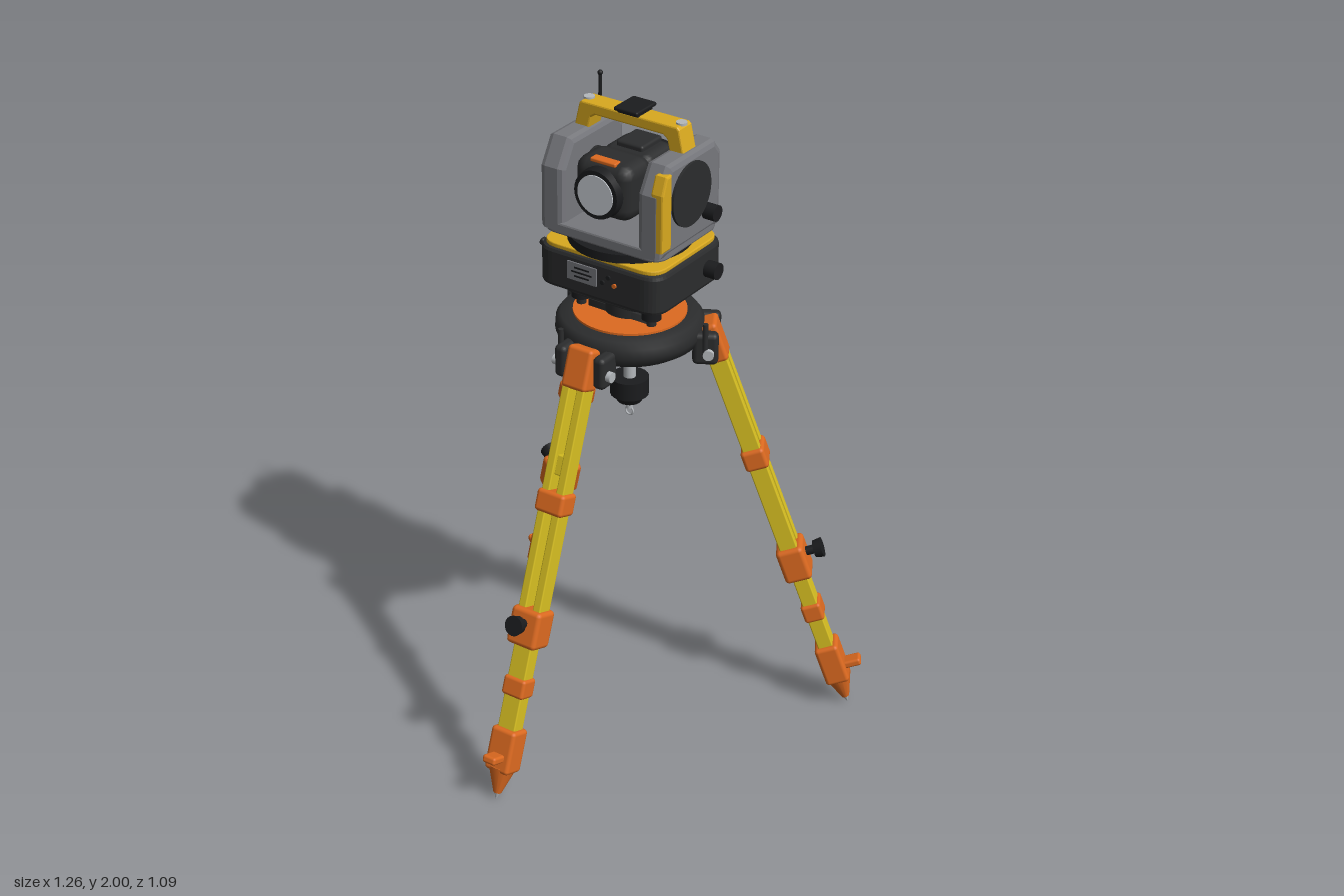
import * as THREE from 'three';
import { RoundedBoxGeometry } from 'three/addons/geometries/RoundedBoxGeometry.js';

function mat(name, color) {
  const m = new THREE.MeshStandardMaterial({ color });
  m.name = name;
  return m;
}

export function createModel() {
  const railYellow = mat('rail yellow', 0xd8c022);
  const trimYellow = mat('trim yellow', 0xd9a91f);
  const orange = mat('orange', 0xdd6a20);
  const black = mat('black', 0x2b2c2d);
  const rubber = mat('dark rubber', 0x1b1c1e);
  const grey = mat('housing grey', 0x77787d);
  const steel = mat('steel', 0xb4b8bc);
  const glass = mat('lens glass', 0xcdd2d8);

  function add(parent, name, geo, m, x = 0, y = 0, z = 0) {
    const mesh = new THREE.Mesh(geo, m);
    mesh.name = name;
    mesh.position.set(x, y, z);
    parent.add(mesh);
    return mesh;
  }
  const rbox = (w, h, d, r = 0.01) => new RoundedBoxGeometry(w, h, d, 2, r);
  const cyl = (rt, rb, h, n = 32) => new THREE.CylinderGeometry(rt, rb, h, n);
  const cylX = (r, h, n = 32) => cyl(r, r, h, n).rotateZ(Math.PI / 2);
  const cylZ = (rf, rb, h, n = 32) => cyl(rf, rb, h, n).rotateX(Math.PI / 2);
  const lathe = (pts) => new THREE.LatheGeometry(pts.map((p) => new THREE.Vector2(p[0], p[1])), 48);

  // extrusion with a bevel that stays inside the given outline
  function extrude(shape, depth, b) {
    return new THREE.ExtrudeGeometry(shape, {
      depth: depth - 2 * b, bevelEnabled: b > 0, bevelSize: b, bevelThickness: b,
      bevelOffset: -b, bevelSegments: 2, curveSegments: 8,
    }).translate(0, 0, b);
  }
  // rounded rectangle lying flat, standing on y = 0
  function slab(w, d, h, r, b) {
    const s = new THREE.Shape(), x = w / 2, z = d / 2;
    s.moveTo(-x + r, -z).lineTo(x - r, -z).quadraticCurveTo(x, -z, x, -z + r);
    s.lineTo(x, z - r).quadraticCurveTo(x, z, x - r, z).lineTo(-x + r, z);
    s.quadraticCurveTo(-x, z, -x, z - r).lineTo(-x, -z + r).quadraticCurveTo(-x, -z, -x + r, -z);
    return extrude(s, h, b).rotateX(-Math.PI / 2);
  }
  const outline = (pts) => new THREE.Shape(pts.map((p) => new THREE.Vector2(p[0], p[1])));
  // side outline given as (z, y), thickness running from x0 to x1
  const sidePlate = (pts, x0, x1, b) =>
    extrude(outline(pts), x1 - x0, b).rotateY(-Math.PI / 2).translate(x1, 0, 0);

  const root = new THREE.Group();
  root.name = 'surveyingInstrument';
  const model = new THREE.Group();
  model.name = 'instrumentOnTripod';
  model.position.z = -0.17;
  root.add(model);

  // ---- tripod legs ----
  function makeLeg() {
    const arm = new THREE.Group();
    arm.name = 'tripodLeg';
    // hinge lugs beside the leg top
    for (const s of [-1, 1]) {
      add(arm, 'hingeLug', rbox(0.04, 0.1, 0.075, 0.015), black, s * 0.066, 1.25, 0.222);
      add(arm, 'hingeBolt', cylX(0.016, 0.02, 16), steel, s * 0.09, 1.24, 0.232);
    }
    add(arm, 'hingePin', cyl(0.008, 0.008, 0.09, 12), black, -0.085, 1.29, 0.222);
    // leg built upward from the tip, then leaned inward
    const leg = new THREE.Group();
    leg.name = 'legShaft';
    leg.position.z = 0.68;
    leg.rotation.x = -0.341;
    arm.add(leg);
    add(leg, 'legTopBracket', rbox(0.085, 0.125, 0.065, 0.012), orange, 0, 1.32, 0);
    for (const s of [-1, 1]) add(leg, 'legRail', rbox(0.026, 0.76, 0.054, 0.004), railYellow, s * 0.025, 0.92, 0);
    add(leg, 'railSpacer', rbox(0.03, 0.06, 0.03, 0.004), railYellow, 0, 1.03, 0);
    add(leg, 'upperCollar', rbox(0.096, 0.068, 0.072, 0.012), orange, 0, 0.92, 0);
    add(leg, 'legClamp', rbox(0.102, 0.115, 0.084, 0.014), orange, 0, 0.54, 0);
    add(leg, 'clampStem', cylZ(0.014, 0.014, 0.04, 16), rubber, 0, 0.555, 0.055);
    add(leg, 'clampKnob', cylZ(0.03, 0.026, 0.025, 20), rubber, 0, 0.555, 0.08);
    add(leg, 'lowerLeg', rbox(0.06, 0.34, 0.046, 0.004), railYellow, 0, 0.36, 0);
    add(leg, 'lowerCollar', rbox(0.076, 0.06, 0.062, 0.01), orange, 0, 0.355, 0);
    add(leg, 'footBlock', rbox(0.085, 0.135, 0.074, 0.012), orange, 0, 0.158, 0);
    add(leg, 'footTaper', cyl(0.042, 0.012, 0.085, 16), orange, 0, 0.062, 0);
    add(leg, 'footTip', cyl(0.013, 0.002, 0.03, 12), steel, 0, 0.015, 0);
    add(leg, 'footPedal', rbox(0.045, 0.024, 0.06, 0.008), orange, 0, 0.138, 0.055);
    return arm;
  }
  for (let i = 0; i < 3; i++) {
    const leg = makeLeg();
    leg.rotation.y = (i * Math.PI * 2) / 3;
    model.add(leg);
  }

  // ---- tripod head and centring screw ----
  add(model, 'tripodHead', lathe([[0, 1.24], [0.185, 1.24], [0.207, 1.255], [0.216, 1.28], [0.214, 1.308],
    [0.2, 1.326], [0.16, 1.33], [0, 1.33]]), black);
  add(model, 'headPlate', cyl(0.165, 0.165, 0.008, 48), orange, 0, 1.332, 0);
  add(model, 'centringShaft', cyl(0.018, 0.018, 0.16, 20), steel, 0, 1.17, 0);
  add(model, 'centringKnob', cyl(0.057, 0.057, 0.055, 20), rubber, 0, 1.083, 0);
  add(model, 'knobSkirt', cyl(0.05, 0.036, 0.025, 20), rubber, 0, 1.044, 0);
  add(model, 'plumbRod', cyl(0.01, 0.01, 0.03, 12), steel, 0, 1.02, 0);
  add(model, 'plumbHook', new THREE.TorusGeometry(0.013, 0.003, 8, 20), steel, 0, 0.995, 0);

  // ---- levelling base ----
  add(model, 'basePlate', cyl(0.12, 0.12, 0.022, 3), black, 0, 1.347, 0).rotation.y = Math.PI;
  add(model, 'basePivot', cyl(0.075, 0.075, 0.1, 32), black, 0, 1.385, 0);
  for (let i = 0; i < 3; i++) {
    const a = Math.PI + (i * Math.PI * 2) / 3;
    const x = 0.14 * Math.sin(a), z = 0.14 * Math.cos(a);
    add(model, 'levelScrewKnob', cyl(0.029, 0.029, 0.036, 16), rubber, x, 1.385, z);
    add(model, 'levelScrew', cyl(0.014, 0.014, 0.09, 12), black, x, 1.39, z);
  }
  add(model, 'baseUnderside', slab(0.32, 0.3, 0.02, 0.08, 0.004), black, 0, 1.415, 0);
  add(model, 'controlHousing', slab(0.42, 0.345, 0.122, 0.06, 0.012), black, 0, 1.43, 0);
  add(model, 'yellowPlate', slab(0.4, 0.33, 0.014, 0.06, 0.003), trimYellow, 0, 1.551, 0);
  add(model, 'turntable', cyl(0.18, 0.18, 0.026, 48), rubber, 0, 1.577, 0);

  // displays on front and back, with row markings
  function display(name, w, h, x, rot) {
    const g = new THREE.Group();
    g.name = name;
    g.rotation.y = rot;
    model.add(g);
    add(g, 'displayPanel', new THREE.BoxGeometry(w, h, 0.006), grey, x, 1.503, 0.174);
    for (const r of [-1, 0, 1])
      add(g, 'displayRow', new THREE.BoxGeometry(w * (r ? 0.5 : 0.7), h * 0.09, 0.004), rubber, x, 1.503 + r * h * 0.24, 0.1765);
  }
  display('frontDisplay', 0.1, 0.055, -0.045, 0);
  display('rearDisplay', 0.075, 0.055, 0, Math.PI);
  for (let i = 0; i < 3; i++)
    add(model, 'keyButton', cylZ(0.007, 0.007, 0.008, 12), i === 2 ? orange : rubber, 0.025 + i * 0.02, 1.495 + (i % 2) * 0.02, 0.174);

  // side lever and drive knob
  add(model, 'lockLever', rbox(0.075, 0.022, 0.022, 0.007), black, -0.225, 1.492, 0.075).rotation.z = -0.5;
  add(model, 'driveKnob', cylX(0.025, 0.045, 20), rubber, 0.225, 1.488, -0.08);

  // ---- yoke ----
  add(model, 'yokeBase', slab(0.405, 0.31, 0.036, 0.05, 0.006), grey, 0, 1.59, 0);
  const pillar = [[0.155, 1.6], [0.155, 1.79], [0.108, 1.87], [-0.118, 1.87], [-0.15, 1.83], [-0.15, 1.6]];
  for (const s of [-1, 1]) {
    add(model, 'pillar', sidePlate(pillar, s > 0 ? 0.125 : -0.205, s > 0 ? 0.205 : -0.125, 0.018), grey);
    add(model, 'sideCover', cylX(0.095, 0.014, 48), black, s * 0.206, 1.755, 0.01);
    add(model, 'trunnion', cylX(0.048, 0.05, 24), black, s * 0.105, 1.76, 0);
  }
  add(model, 'cornerTrim', sidePlate([[0.154, 1.625], [0.154, 1.8], [0.135, 1.85], [0.108, 1.85], [0.108, 1.625]],
    0.17, 0.211, 0.006), trimYellow);
  add(model, 'focusKnob', cylX(0.024, 0.045, 20), rubber, 0.22, 1.67, -0.075);

  // ---- telescope ----
  add(model, 'telescopeFront', rbox(0.19, 0.17, 0.135, 0.04), black, 0, 1.76, 0.085);
  add(model, 'telescopeBody', rbox(0.165, 0.155, 0.14, 0.03), black, 0, 1.76, -0.035);
  add(model, 'lensBarrel', cylZ(0.072, 0.076, 0.03), rubber, 0, 1.757, 0.158);
  add(model, 'objectiveLens', cylZ(0.059, 0.059, 0.006), glass, 0, 1.757, 0.173);
  add(model, 'sightMark', rbox(0.085, 0.012, 0.03, 0.004), orange, 0, 1.842, 0.125);
  add(model, 'eyepieceBarrel', cylZ(0.055, 0.045, 0.05), black, 0, 1.757, -0.115);
  add(model, 'eyepiece', cylZ(0.046, 0.046, 0.025), rubber, 0, 1.757, -0.148);
  add(model, 'opticalSight', rbox(0.09, 0.025, 0.1, 0.008), black, 0, 1.84, -0.04);

  // ---- carrying handle ----
  const handle = outline([[-0.185, 1.86], [-0.168, 1.935], [-0.16, 1.943], [0.16, 1.943], [0.168, 1.935], [0.185, 1.86],
    [0.138, 1.86], [0.128, 1.9], [0.115, 1.91], [-0.115, 1.91], [-0.128, 1.9], [-0.138, 1.86]]);
  add(model, 'handle', extrude(handle, 0.065, 0.005), trimYellow, 0, 0, -0.05);
  for (const s of [-1, 1]) add(model, 'handleBolt', cyl(0.016, 0.016, 0.008, 20), steel, s * 0.155, 1.944, -0.018);
  add(model, 'handleCapNeck', rbox(0.07, 0.012, 0.075, 0.004), rubber, 0, 1.946, -0.018);
  add(model, 'handleCap', rbox(0.08, 0.012, 0.098, 0.005), rubber, 0, 1.955, -0.018);

  // ---- antenna ----
  add(model, 'antennaBase', cyl(0.018, 0.022, 0.035, 20), rubber, -0.165, 1.88, -0.085);
  add(model, 'antenna', cyl(0.005, 0.006, 0.11, 12), rubber, -0.165, 1.938, -0.085);
  add(model, 'antennaTip', new THREE.SphereGeometry(0.008, 12, 8), rubber, -0.165, 1.992, -0.085);

  return root;
}
